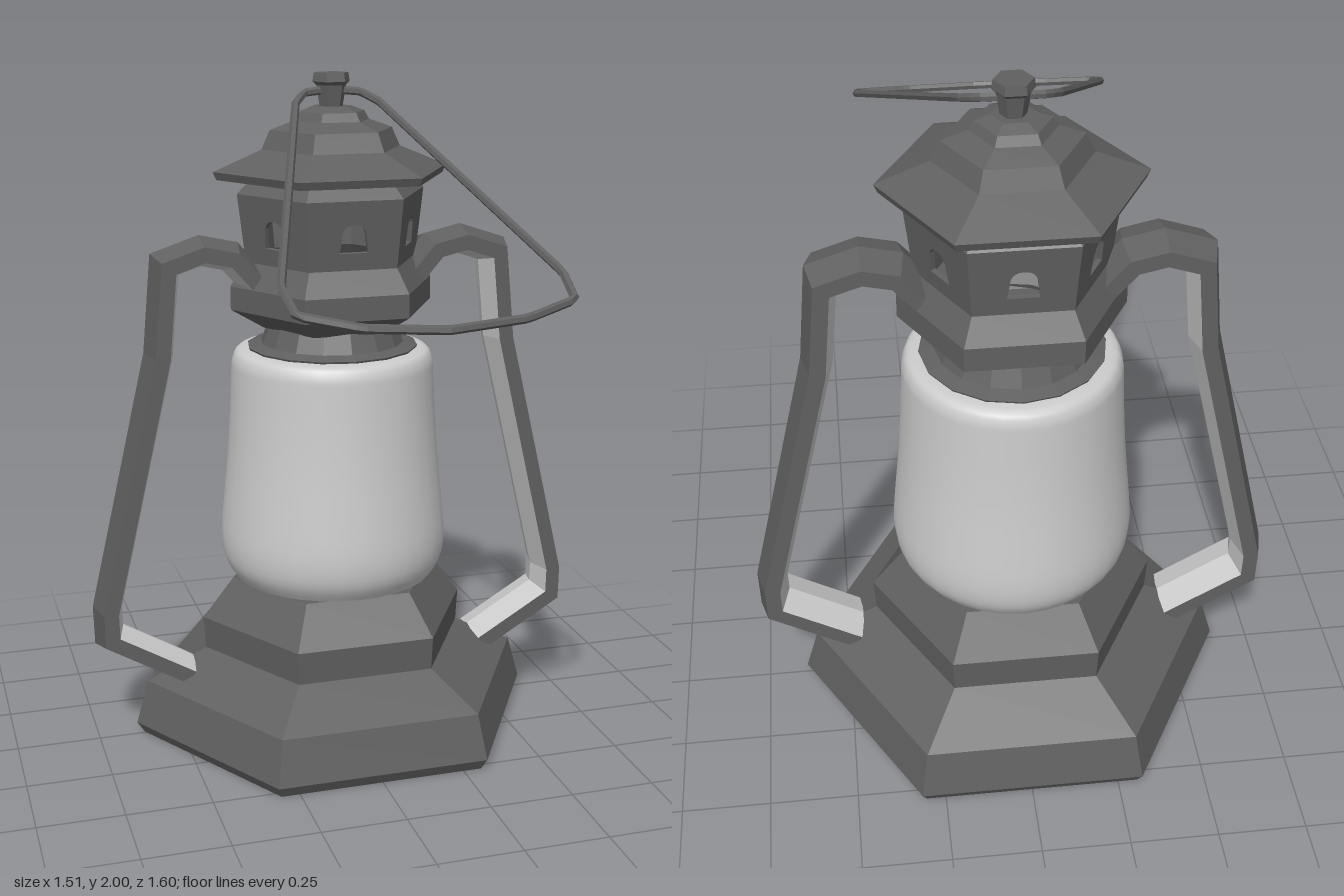
import * as THREE from 'three';

const darkColor = 0x606060;
const dark = new THREE.MeshStandardMaterial({ color: darkColor, flatShading: true, side: THREE.DoubleSide });
const pale = new THREE.MeshStandardMaterial({ color: 0xcccccc, flatShading: true, side: THREE.DoubleSide });
const glassMat = new THREE.MeshStandardMaterial({ color: 0xcccccc, side: THREE.DoubleSide });

function add(parent, name, geometry, material) {
  const mesh = new THREE.Mesh(geometry, material);
  mesh.name = name;
  parent.add(mesh);
  return mesh;
}

// Turned profile of [radius, y] points, with a corner on the +x axis
function turned(profile, sides) {
  return new THREE.LatheGeometry(profile.map(p => new THREE.Vector2(...p)), sides, Math.PI / 2);
}

// Sweep section edges along a path in the xy plane with mitred corners
function sweep(path, section, edges) {
  const pts = path.map(p => new THREE.Vector2(...p));
  const rings = pts.map((p, i) => {
    const before = p.clone().sub(pts[Math.max(i - 1, 0)]).normalize();
    const after = pts[Math.min(i + 1, pts.length - 1)].clone().sub(p).normalize();
    const t = before.clone().add(after).normalize();
    const miter = 1 / Math.max(t.dot(i ? before : after), 0.6);
    return section.map(([u, v]) => [p.x - t.y * u * miter, p.y + t.x * u * miter, v]);
  });
  const out = [];
  for (let i = 0; i < rings.length - 1; i++) {
    for (const j of edges) {
      const k = (j + 1) % section.length;
      const [a, b, c, d] = [rings[i][j], rings[i][k], rings[i + 1][k], rings[i + 1][j]];
      out.push(...a, ...b, ...c, ...a, ...c, ...d);
    }
  }
  const g = new THREE.BufferGeometry();
  g.setAttribute('position', new THREE.Float32BufferAttribute(out, 3));
  g.computeVertexNormals();
  return g;
}

// One chimney wall with an arched window cut through it
function windowPanel() {
  const h = 0.201, s = new THREE.Shape();
  s.moveTo(-0.131, 0);
  s.lineTo(0.131, 0);
  s.lineTo(0.1425, h);
  s.lineTo(-0.1425, h);
  s.closePath();
  const w = new THREE.Path();
  w.moveTo(-0.042, 0.05);
  w.lineTo(-0.034, 0.11);
  w.quadraticCurveTo(-0.026, 0.133, 0, 0.133);
  w.quadraticCurveTo(0.026, 0.133, 0.034, 0.11);
  w.lineTo(0.042, 0.05);
  w.closePath();
  s.holes.push(w);
  const g = new THREE.ExtrudeGeometry(s, { depth: 0.015, bevelEnabled: false, curveSegments: 4 });
  return g.translate(0, 0, -0.015).rotateX(0.1).translate(0, 1.46, 0.227);
}

export function createModel() {
  const model = new THREE.Group();
  const lantern = new THREE.Group();
  lantern.name = 'lantern';
  lantern.position.z = -0.255;
  model.add(lantern);

  // Six-sided stepped base
  add(lantern, 'base', turned([
    [0, 0], [0.61, 0], [0.633, 0.035], [0.595, 0.17], [0.41, 0.26],
    [0.416, 0.36], [0.32, 0.48], [0, 0.48]
  ], 6), dark);

  // Smooth glass chimney
  const glassCurve = new THREE.SplineCurve([
    [0.305, 0.485], [0.335, 0.535], [0.345, 0.61], [0.336, 0.72], [0.322, 0.86],
    [0.312, 1.0], [0.306, 1.12], [0.302, 1.16], [0.285, 1.188], [0.24, 1.195]
  ].map(p => new THREE.Vector2(...p)));
  add(lantern, 'glass', new THREE.LatheGeometry(glassCurve.getPoints(27), 32), glassMat);

  // Round neck and collar above the glass
  add(lantern, 'neck', turned([
    [0, 1.185], [0.25, 1.185], [0.257, 1.2], [0.215, 1.21], [0.19, 1.275]
  ], 16), dark);

  // Lower part of the vented head
  add(lantern, 'headBowl', turned([
    [0, 1.26], [0.21, 1.26], [0.31, 1.32], [0.31, 1.39], [0.262, 1.46]
  ], 6), dark);

  // Six window walls
  const panel = windowPanel();
  for (let i = 0; i < 6; i++) {
    add(lantern, 'windowWall', panel, dark).rotation.y = i * Math.PI / 3;
  }

  // Roof with eave and stepped cap
  add(lantern, 'roof', turned([
    [0.285, 1.66], [0.25, 1.695], [0.345, 1.702], [0.355, 1.725], [0.21, 1.785],
    [0.185, 1.84], [0.115, 1.865], [0.1, 1.89], [0.06, 1.905], [0, 1.905]
  ], 6), dark);
  add(lantern, 'knob', turned([
    [0.034, 1.9], [0.045, 1.965], [0.056, 1.975], [0.052, 2], [0, 2]
  ], 6), dark);

  // Side frame arms: dark outside, pale inside faces
  const armPath = [
    [0.24, 1.40], [0.31, 1.48], [0.4, 1.5], [0.505, 1.465],
    [0.53, 1.2], [0.71, 0.43], [0.708, 0.34], [0.47, 0.2]
  ];
  const armSection = [
    [0.044, 0], [0.022, 0.085], [-0.022, 0.085], [-0.044, 0], [-0.022, -0.085], [0.022, -0.085]
  ];
  for (const turn of [0, Math.PI]) {
    const arm = new THREE.Group();
    arm.name = turn ? 'rightArm' : 'leftArm';
    arm.rotation.y = turn;
    add(arm, 'armOuter', sweep(armPath, armSection, [0, 1, 4, 5]), dark);
    add(arm, 'armInner', sweep(armPath, armSection, [2, 3]), pale);
    lantern.add(arm);
  }

  // Wire carrying handle, tipped forward from the knob
  const half = [[0.03, -0.25], [0.085, -0.24], [0.125, -0.185], [0.37, 0.6], [0.36, 0.705], [0.21, 0.763]];
  const wire = [...half.map(([x, z]) => [-x, z]), [0, 0.787], ...half.slice().reverse()]
    .map(([x, z]) => new THREE.Vector3(x, 1.95 - (z + 0.25) * 0.475, z));
  const path = new THREE.CurvePath();
  for (let i = 1; i < wire.length; i++) path.add(new THREE.LineCurve3(wire[i - 1], wire[i]));
  add(model, 'carryHandle', new THREE.TubeGeometry(path, 120, 0.012, 6), dark);

  return model;
}
